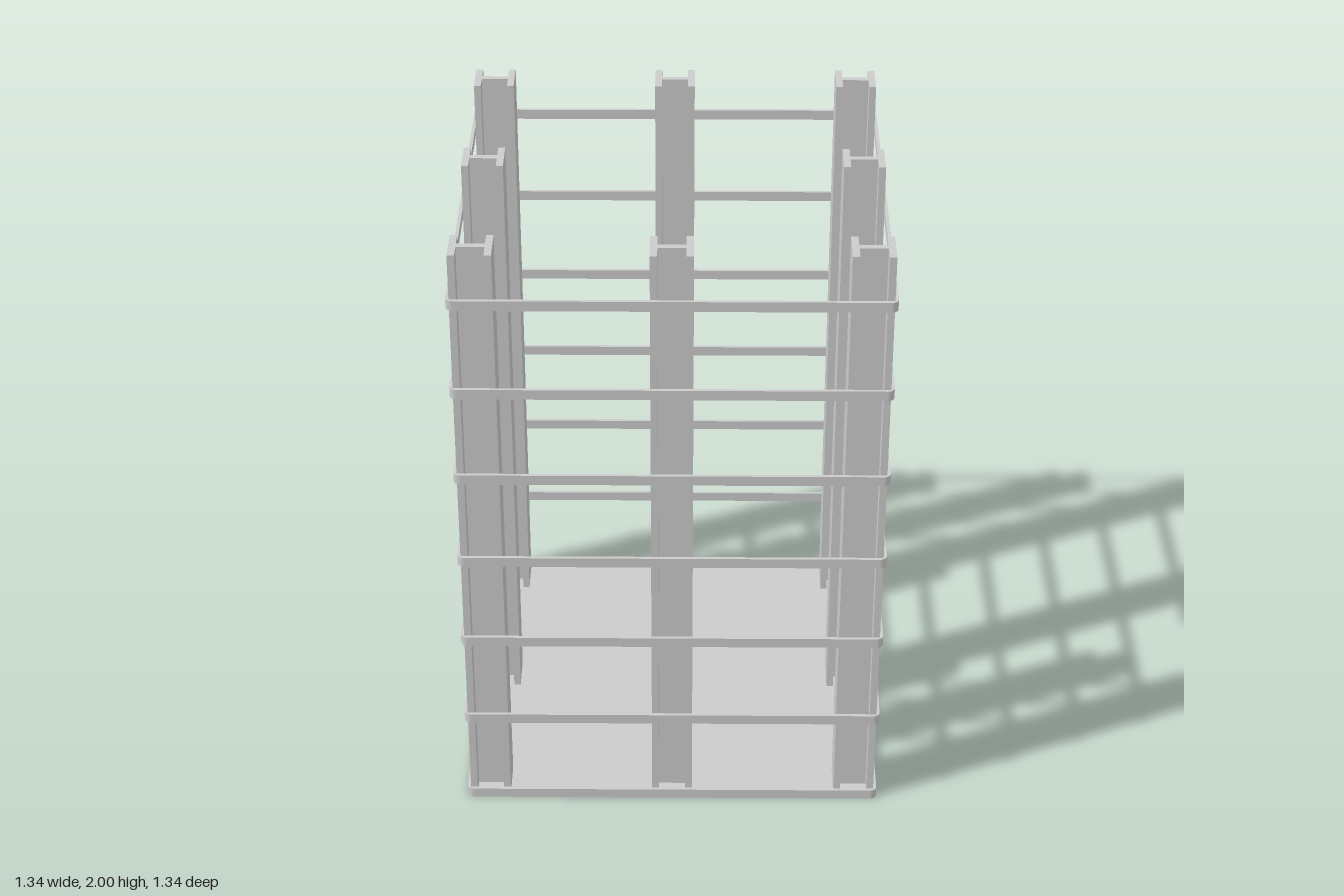
import * as THREE from 'three';

const material = new THREE.MeshStandardMaterial({ color: 0xcccccc, flatShading: true });

// Traces a rounded square of half-width h and corner radius r
function roundedSquare(path, h, r) {
  const k = h - r;
  path.moveTo(-k, -h);
  path.lineTo(k, -h);
  path.absarc(k, -k, r, -Math.PI / 2, 0);
  path.lineTo(h, k);
  path.absarc(k, k, r, 0, Math.PI / 2);
  path.lineTo(-k, h);
  path.absarc(-k, k, r, Math.PI / 2, Math.PI);
  path.lineTo(-h, -k);
  path.absarc(-k, -k, r, Math.PI, Math.PI * 1.5);
  return path;
}

// Extrudes a plan outline upward from y = 0
function extrudeUp(shape, height) {
  const geometry = new THREE.ExtrudeGeometry(shape, { depth: height, bevelEnabled: false, curveSegments: 4 });
  return geometry.rotateX(-Math.PI / 2);
}

export function createModel() {
  const model = new THREE.Group();
  const add = (name, geometry, x, y, z) => {
    const mesh = new THREE.Mesh(geometry, material);
    mesh.name = name;
    mesh.position.set(x, y, z);
    model.add(mesh);
  };

  const outer = 0.67, inner = 0.659, bandHeight = 0.033;

  // Floor plate inside the lowest band
  add('floorPlate', extrudeUp(roundedSquare(new THREE.Shape(), inner, 0.012), 0.01), 0, 0, 0);

  // Seven evenly spaced bands, the lowest one edging the floor
  const bandShape = roundedSquare(new THREE.Shape(), outer, 0.022);
  bandShape.holes.push(roundedSquare(new THREE.Path(), inner, 0.012));
  const bandGeometry = extrudeUp(bandShape, bandHeight);
  for (let i = 0; i < 7; i++) add('band' + (i + 1), bandGeometry, 0, i * 0.3035, 0);

  // H-section columns around the perimeter, flanges facing sideways
  const w = 0.065, t = 0.022, web = t / 2;
  const half = [[w, -w], [w, w], [w - t, w], [w - t, web]];
  const section = [
    ...half,
    ...half.slice(1).reverse().map(([x, z]) => [-x, z]),
    [-w, -w], [t - w, -w], [t - w, -web], [w - t, -web], [w - t, -w],
  ];
  const columnGeometry = extrudeUp(new THREE.Shape(section.map(([x, z]) => new THREE.Vector2(x, z))), 2);
  const spacing = 0.594;
  for (const i of [-1, 0, 1]) {
    for (const j of [-1, 0, 1]) {
      if (i || j) add('column', columnGeometry, i * spacing, 0, j * spacing);
    }
  }
  return model;
}
